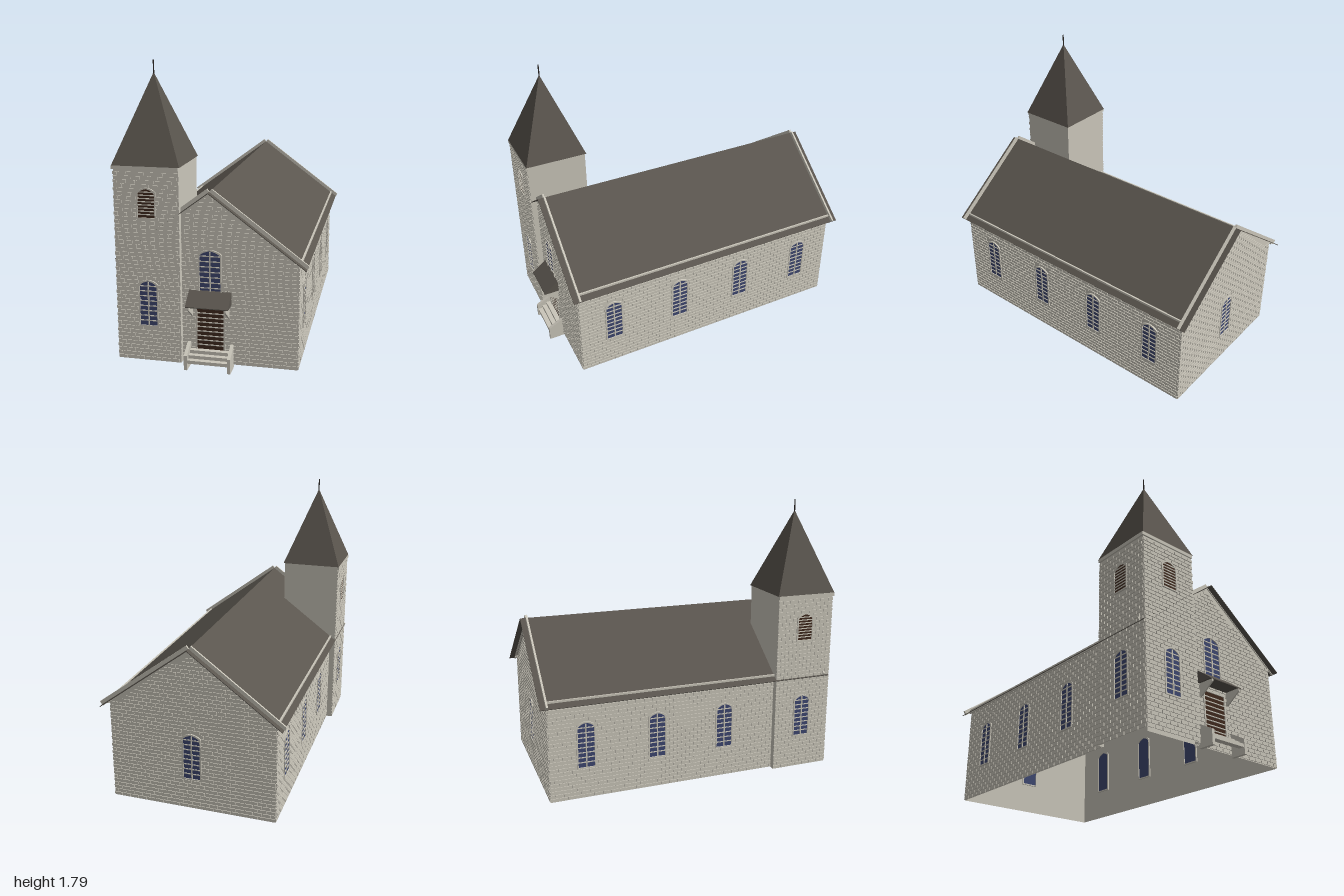
import * as THREE from 'three';
import { mergeGeometries } from 'three/addons/utils/BufferGeometryUtils.js';

const mat = (name, color) => new THREE.MeshStandardMaterial({ name, color, side: THREE.DoubleSide });

// Roof planes: y falls away from the ridge on both sides
const RIDGE = 1.06, SLOPE = 0.746, EAVE_X = 0.567;
const roofY = (x) => RIDGE - SLOPE * Math.abs(x);

export function createModel() {
  const cream = mat('cream masonry', 0xcac6ba);
  const slate = mat('dark slate', 0x5a554e);
  const glass = mat('blue glass', 0x3e4770);
  const wood = mat('brown wood', 0x3f291d);
  const iron = mat('dark iron', 0x2c2826);
  const root = new THREE.Group();

  const add = (parent, name, geo, material, x = 0, y = 0, z = 0) => {
    const m = new THREE.Mesh(geo, material);
    m.name = name;
    m.position.set(x, y, z);
    parent.add(m);
    return m;
  };
  const block = (x0, x1, y0, y1, z0, z1) =>
    new THREE.BoxGeometry(x1 - x0, y1 - y0, z1 - z0)
      .translate((x0 + x1) / 2, (y0 + y1) / 2, (z0 + z1) / 2);
  const polygon = (pts) => new THREE.Shape(pts.map(([x, y]) => new THREE.Vector2(x, y)));
  const slab = (shape, depth) =>
    new THREE.ExtrudeGeometry(shape, { depth, bevelEnabled: false, curveSegments: 5 })
      .translate(0, 0, -depth / 2);

  // Outline of a window (shallow pointed arch) or of a door (square head)
  const openingShape = (o, grow) => {
    const w = o.hw + grow, b = o.y0 - grow, t = o.y1 + grow;
    if (o.square) return polygon([[-w, b], [w, b], [w, t], [-w, t]]);
    const s = new THREE.Shape();
    s.moveTo(-w, b);
    s.lineTo(w, b);
    s.lineTo(w, t - 0.03);
    s.quadraticCurveTo(w * 0.75, t - 0.008, 0, t);
    s.quadraticCurveTo(-w * 0.75, t - 0.008, -w, t - 0.03);
    return s;
  };

  // Panel, frame and glazing bars of one opening
  function addOpening(parent, o) {
    const g = new THREE.Group();
    g.name = o.name;
    g.position.x = o.x;
    parent.add(g);
    add(g, 'panel', slab(openingShape(o, 0), 0.006), o.panel);
    const ring = openingShape(o, 0.009);
    ring.holes.push(openingShape(o, 0));
    add(g, 'frame', slab(ring, 0.018), cream);
    const bars = [], h = o.y1 - o.y0, n = Math.round(h / o.pitch);
    for (let i = 1; i < n; i++) {
      const y = o.y0 + (i * h) / n;
      bars.push(block(-o.hw, o.hw, y - 0.003, y + 0.003, 0, 0.007));
    }
    if (o.panel === glass) bars.push(block(-0.004, 0.004, o.y0, o.y1 - 0.005, 0, 0.008));
    add(g, 'bars', mergeGeometries(bars), cream);
  }

  // Staggered courses of bricks, cut around the openings
  function brickwork(x0, x1, y0, top, openings) {
    const bricks = [], rise = 0.024, pitch = 0.055, gap = 0.006;
    for (let row = 0, y = y0; y < 1.2; row++, y += rise) {
      const yt = y + rise - gap;
      for (let x = x0 - (row % 2) * pitch / 2; x < x1; x += pitch) {
        let a = Math.max(x, x0), b = Math.min(x + pitch - gap, x1);
        for (const o of openings) {
          const l = o.x - o.hw - 0.009, r = o.x + o.hw + 0.009;
          if (y > o.y1 || yt < o.y0 - 0.009 || b < l || a > r) continue;
          if (a < l) b = l; else a = r;
        }
        if (b - a < 0.008 || yt > Math.min(top(a), top(b))) continue;
        bricks.push(block(a, b, y, yt, 0, 0.005));
      }
    }
    return mergeGeometries(bricks);
  }

  // One wall drawn in its own plane, +z outward
  function wall(name, pos, turn, outline, openings, range, top) {
    const g = new THREE.Group();
    g.name = name;
    g.position.set(...pos);
    g.rotation.y = turn;
    root.add(g);
    add(g, 'wall sheet', new THREE.ShapeGeometry(polygon(outline)), cream);
    if (range) add(g, 'bricks', brickwork(range[0], range[1], 0.02, top, openings), cream);
    openings.forEach((o) => addOpening(g, o));
  }
  const windowAt = (x, y0, y1, hw = 0.052) =>
    ({ name: 'arched window', x, y0, y1, hw, panel: glass, pitch: 0.032 });
  const louver = (x) =>
    ({ name: 'belfry louver', x, y0: 0.9, y1: 1.07, hw: 0.05, panel: wood, pitch: 0.02 });

  // Nave: gable ends and long sides, open underneath
  const B = 0.015, W = 0.52, F = 0.9, K = -0.95, E = roofY(W);
  const gable = [[-W, B], [W, B], [W, E], [0, RIDGE], [-W, E]];
  const gableTop = (x) => roofY(x) - 0.008;
  const door = { name: 'front door', x: 0, y0: 0.1, y1: 0.355, hw: 0.08, square: true, panel: wood, pitch: 0.03 };
  wall('front gable wall', [0, 0, F], 0, gable,
    [windowAt(0, 0.42, 0.71, 0.062), door], [-0.17, W], gableTop);
  wall('back gable wall', [0, 0, K], Math.PI, gable, [windowAt(0, 0.22, 0.51)], [-W, W], gableTop);
  const bays = [0.67, 0.2, -0.26, -0.72];
  for (const s of [1, -1]) {
    const a = s > 0 ? -F : K, b = s > 0 ? -K : F;
    wall(s > 0 ? 'left nave wall' : 'right nave wall', [s * W, 0, 0], s * Math.PI / 2,
      [[a, B], [b, B], [b, E], [a, E]],
      bays.map((z) => windowAt(-s * z, 0.22, 0.51)),
      [a, s > 0 ? b : 0.55], () => E - 0.01);
  }

  // Main roof, with raised strips along the gables and eaves
  const angle = Math.atan(SLOPE), run = EAVE_X / Math.cos(angle);
  for (const s of [1, -1]) {
    const half = new THREE.Group();
    half.name = s > 0 ? 'left roof half' : 'right roof half';
    half.position.y = RIDGE;
    half.rotation.z = -s * angle;
    root.add(half);
    const along = (d0, d1, y0, y1, z0, z1) =>
      s > 0 ? block(d0, d1, y0, y1, z0, z1) : block(-d1, -d0, y0, y1, z0, z1);
    add(half, 'roof slope', along(0, run, -0.003, 0.001, -1, 0.94), slate);
    for (const z of [F, -0.96])
      add(half, 'gable strip', along(0, run, -0.008, 0.023, z - 0.006, z + 0.006), cream);
    add(root, 'eave strip', block(-0.005, 0.005, 0.65, 0.675, -0.965, s > 0 ? F : 0.55), cream, s * 0.53);
  }

  // Tower: bricked outer faces, plain inner faces rising from the roof
  const L = -0.56, R = -0.17, N = 0.55, T = 0.94, TOP = 1.2;
  const towerTop = () => TOP - 0.015;
  const tall = (a, b) => [[a, B], [b, B], [b, TOP], [a, TOP]];
  wall('tower front', [0, 0, T], 0, tall(L, R),
    [windowAt(-0.365, 0.24, 0.515), louver(-0.365)], [L, R], towerTop);
  wall('tower right side', [L, 0, 0], -Math.PI / 2, tall(N, T),
    [windowAt(0.745, 0.24, 0.515), louver(0.745)], [N, T], towerTop);
  wall('tower back', [0, 0, N], Math.PI,
    [[-L, B], [-L, TOP], [-R, TOP], [-R, roofY(R)], [W, E], [W, B]], []);
  wall('tower left side', [R, 0, 0], Math.PI / 2,
    [[-T, B], [-F, B], [-F, roofY(R)], [-N, roofY(R)], [-N, TOP], [-T, TOP]], []);
  const cx = (L + R) / 2, cz = (N + T) / 2;
  add(root, 'tower cornice front', block(L - 0.01, R, 1.178, TOP, T, T + 0.008), cream);
  add(root, 'tower cornice side', block(L - 0.01, L, 1.178, TOP, N, T + 0.008), cream);

  // Spire and finial
  const spire = new THREE.ConeGeometry(0.203 * Math.SQRT2, 0.52, 4).rotateY(Math.PI / 4).toNonIndexed();
  spire.computeVertexNormals();
  add(root, 'spire', spire, slate, cx, TOP + 0.26, cz);
  add(root, 'finial', new THREE.CylinderGeometry(0.004, 0.004, 0.09, 8), iron, cx, 1.745, cz);

  // Porch: lean-to canopy, brackets, steps and sloping cheek walls
  const porch = new THREE.Group();
  porch.name = 'porch';
  root.add(porch);
  const profile = (pts, width) => slab(polygon(pts), width).rotateY(-Math.PI / 2);
  add(porch, 'canopy', profile([[F, 0.39], [1, 0.39], [1, 0.395], [F, 0.47]], 0.255), slate);
  for (const s of [1, -1]) {
    add(porch, 'canopy bracket',
      profile([[F, 0.31], [F + 0.012, 0.31], [1, 0.375], [1, 0.39], [F, 0.39]], 0.01), cream, s * 0.11);
    add(porch, 'stair cheek',
      profile([[F, 0], [1, 0], [1, 0.09], [F, 0.145]], 0.02), cream, s * 0.13);
  }
  [[0.1, 0.935], [0.08, 0.965], [0.06, 0.995]].forEach(([y, z], i) =>
    add(porch, 'step', block(-0.12, 0.12, y - 0.02, y, F + i * 0.03, z), cream));

  return root;
}
